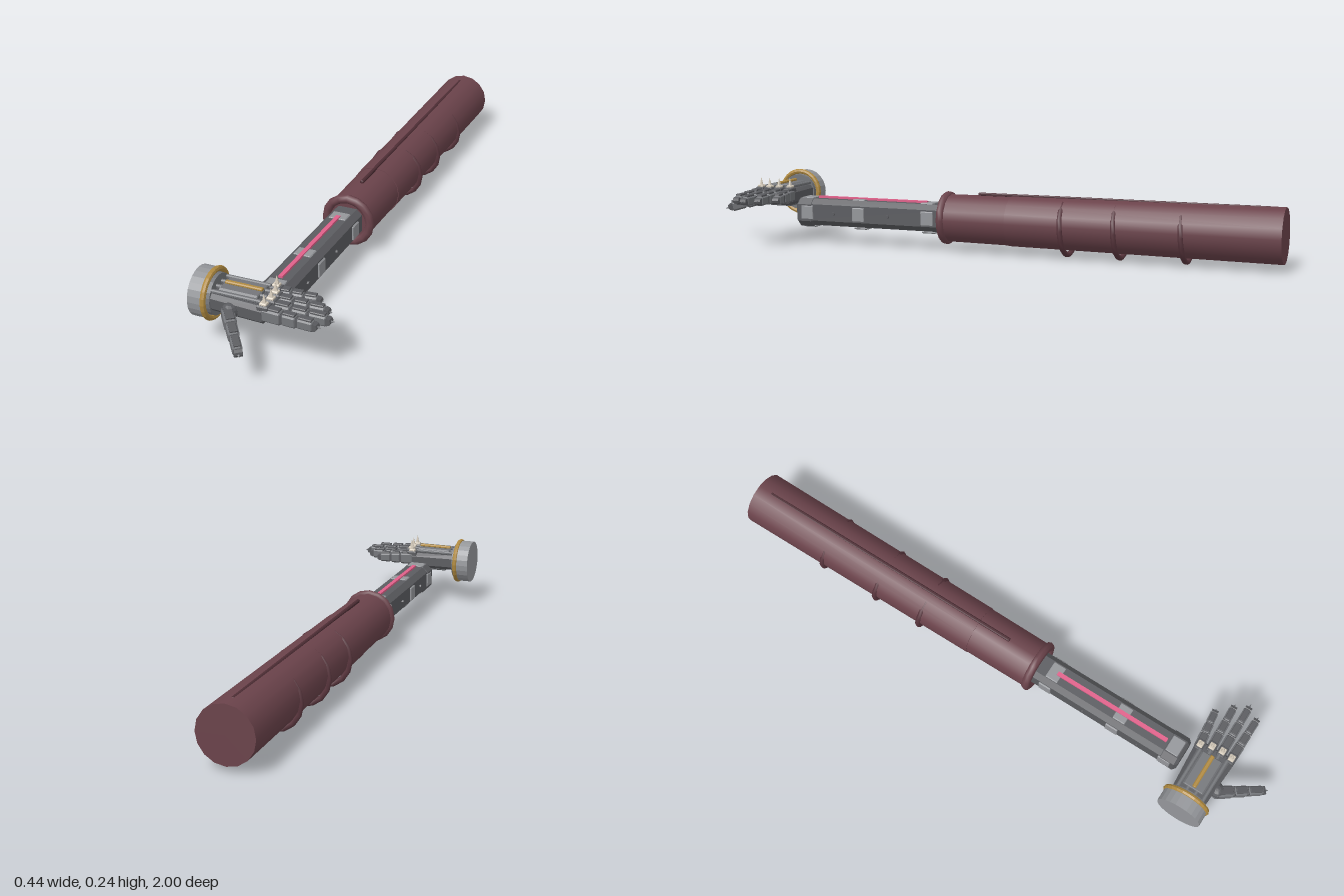
import * as THREE from 'three';

const mat = (color, flatShading = true) => new THREE.MeshStandardMaterial({ color, flatShading });
const MAROON = mat(0x6b434b, false), SEAM = mat(0x4d2d34), RIB = mat(0x5a363e, false);
const DARK = mat(0x5b5c60), MID = mat(0x74767a), LIGHT = mat(0x94969a);
const GOLD = mat(0xb08a40), PINK = mat(0xe0608a), BONE = mat(0xd6ccbc);
const AX = -0.037, AY = 0.112;          // axis of sleeve and forearm

function add(parent, name, geometry, material, x = 0, y = 0, z = 0) {
  const m = new THREE.Mesh(geometry, material);
  m.name = name;
  m.position.set(x, y, z);
  parent.add(m);
  return m;
}

// Bar along z (from 0 to len) with chamfered corners and ends
function bar(w, h, len, c) {
  const a = w / 2, b = h / 2, s = new THREE.Shape();
  [[-a + c, -b], [a - c, -b], [a, -b + c], [a, b - c], [a - c, b], [-a + c, b], [-a, b - c], [-a, -b + c]]
    .forEach(([x, y], i) => (i ? s.lineTo(x, y) : s.moveTo(x, y)));
  s.closePath();
  const e = c * 0.5;
  return new THREE.ExtrudeGeometry(s, {
    depth: len - 2 * e, bevelEnabled: true, bevelSegments: 1,
    bevelThickness: e, bevelSize: e, bevelOffset: -e,
  }).translate(0, 0, e);
}

function sleeve() {
  const g = new THREE.Group();
  g.name = 'sleeve';
  const tube = (name, z0, z1, r0, r1) => add(g, name,
    new THREE.CylinderGeometry(r1, r0, z1 - z0, 16).rotateX(Math.PI / 2), MAROON, AX, AY + 0.003, (z0 + z1) / 2);
  tube('upperSleeve', -1, -0.09, 0.092, 0.086);
  tube('lowerSleeve', -0.1, 0.145, 0.084, 0.082);
  add(g, 'sleeveRim', new THREE.TorusGeometry(0.077, 0.015, 8, 16), MAROON, AX, AY + 0.003, 0.143);
  for (const z of [-0.285, -0.465, -0.685])
    add(g, 'sleeveRib', new THREE.TorusGeometry(0.09, 0.009, 6, 16), RIB, AX, AY - 0.009, z).rotation.x = 0.06;
  // raised fold running along the top
  add(g, 'sleeveSeam', bar(0.012, 0.012, 0.98, 0.003), SEAM, AX, AY + 0.089, -0.95);
  return g;
}

function forearm() {
  const g = new THREE.Group();
  g.name = 'forearm';
  add(g, 'forearmBody', bar(0.1, 0.094, 0.57, 0.018), DARK, AX, 0.115, 0.13);
  add(g, 'wristBlock', bar(0.106, 0.1, 0.07, 0.02), DARK, AX, 0.113, 0.638);
  for (const z of [0.18, 0.44, 0.64]) {
    for (const s of [-1, 1])
      add(g, 'sidePanel', bar(0.008, 0.05, 0.045, 0.003), LIGHT, AX + s * 0.051, 0.114, z);
    add(g, 'topPanel', bar(0.06, 0.008, 0.045, 0.003), LIGHT, AX, 0.161, z + 0.01);
    add(g, 'bottomPanel', bar(0.06, 0.008, 0.05, 0.003), LIGHT, AX, 0.064, z);
  }
  for (const z of [0.35, 0.56])
    add(g, 'bolts', new THREE.CylinderGeometry(0.006, 0.006, 0.112, 6).rotateZ(Math.PI / 2), DARK, AX, 0.113, z);
  add(g, 'lightStrip', new THREE.BoxGeometry(0.014, 0.008, 0.42), PINK, AX, 0.165, 0.43);
  return g;
}

// Armoured finger of three segments with joints and a claw
function finger(name, base, tip, w, h) {
  const g = new THREE.Group();
  g.name = name;
  const a = new THREE.Vector3(...base), b = new THREE.Vector3(...tip), L = a.distanceTo(b);
  [[0, 0.32], [0.35, 0.58], [0.61, 0.87]].forEach(([t0, t1], i) => {
    const k = 1 - i * 0.1, len = (t1 - t0) * L;
    add(g, 'segment', bar(w * k, h * k, len, w * 0.18), MID, 0, 0, t0 * L);
    add(g, 'segmentPlate', bar(w * k * 0.72, h * 0.2, len * 0.86, w * 0.06), DARK, 0, h * k * 0.53, t0 * L + len * 0.07);
    add(g, 'joint', new THREE.CylinderGeometry(h * k * 0.36, h * k * 0.36, w * k * 0.85, 8).rotateZ(Math.PI / 2),
      DARK, 0, 0, t1 * L + 0.015 * L);
  });
  add(g, 'claw', new THREE.ConeGeometry(w * 0.28, L * 0.14, 6).rotateX(Math.PI / 2), MID, 0, 0, L * 0.93);
  g.position.copy(a);
  g.lookAt(b);
  return g;
}

function hand() {
  const g = new THREE.Group();
  g.name = 'hand';
  const CY = 0.163, CZ = 0.791;
  const disc = (name, r, x0, x1, m) => add(g, name,
    new THREE.CylinderGeometry(r, r, x1 - x0, 24).rotateZ(Math.PI / 2), m, (x0 + x1) / 2, CY, CZ);
  disc('cuff', 0.077, -0.223, -0.172, LIGHT);
  disc('wristCollar', 0.064, -0.175, -0.157, MID);
  add(g, 'cuffRing', new THREE.TorusGeometry(0.074, 0.009, 8, 24).rotateY(Math.PI / 2), GOLD, -0.173, CY, CZ);

  // palm widens toward the knuckles
  const palm = bar(0.125, 0.056, 0.18, 0.012).rotateY(Math.PI / 2);
  const p = palm.attributes.position;
  for (let i = 0; i < p.count; i++) p.setZ(i, p.getZ(i) * (0.95 + p.getX(i)));
  palm.computeVertexNormals();
  add(g, 'palm', palm, DARK, -0.162, 0.164, CZ);
  add(g, 'palmPad', bar(0.09, 0.014, 0.11, 0.005).rotateY(Math.PI / 2), MID, -0.13, 0.135, CZ);
  add(g, 'backPlate', bar(0.075, 0.014, 0.125, 0.005).rotateY(Math.PI / 2), MID, -0.14, 0.2, CZ);
  add(g, 'goldInlay', bar(0.014, 0.01, 0.12, 0.003).rotateY(Math.PI / 2), GOLD, -0.135, 0.21, CZ);

  // base x, base z, tip x, tip z for little, ring, middle and index finger
  const rows = [
    ['littleFinger', -0.002, 0.737, 0.143, 0.72],
    ['ringFinger', 0.012, 0.773, 0.192, 0.765],
    ['middleFinger', 0.016, 0.809, 0.219, 0.808],
    ['indexFinger', 0.012, 0.845, 0.194, 0.85],
  ];
  for (const [name, x0, z0, x1, z1] of rows) {
    g.add(finger(name, [x0, 0.17, z0], [x1, 0.167, z1], 0.033, 0.041));
    add(g, 'tendonRod', bar(0.011, 0.011, 0.15 + x0, 0.003).rotateY(Math.PI / 2), MID, -0.16, 0.199, z0 * 0.85 + CZ * 0.15);
    add(g, 'knuckle', bar(0.03, 0.018, 0.036, 0.004).rotateY(Math.PI / 2), DARK, x0 - 0.015, 0.19, z0);
    add(g, 'spikeBase', bar(0.02, 0.012, 0.022, 0.003).rotateY(Math.PI / 2), BONE, x0 - 0.008, 0.2, z0);
    add(g, 'knuckleSpike', new THREE.ConeGeometry(0.009, 0.035, 6), BONE, x0 + 0.004, 0.216, z0);
  }
  add(g, 'thumbMount', new THREE.SphereGeometry(0.026, 10, 8), DARK, -0.09, 0.158, 0.858);
  g.add(finger('thumb', [-0.1, 0.155, 0.855], [0.014, 0.112, 0.998], 0.036, 0.042));
  return g;
}

export function createModel() {
  const model = new THREE.Group();
  model.name = 'armouredArm';
  model.add(sleeve(), forearm(), hand());
  return model;
}
